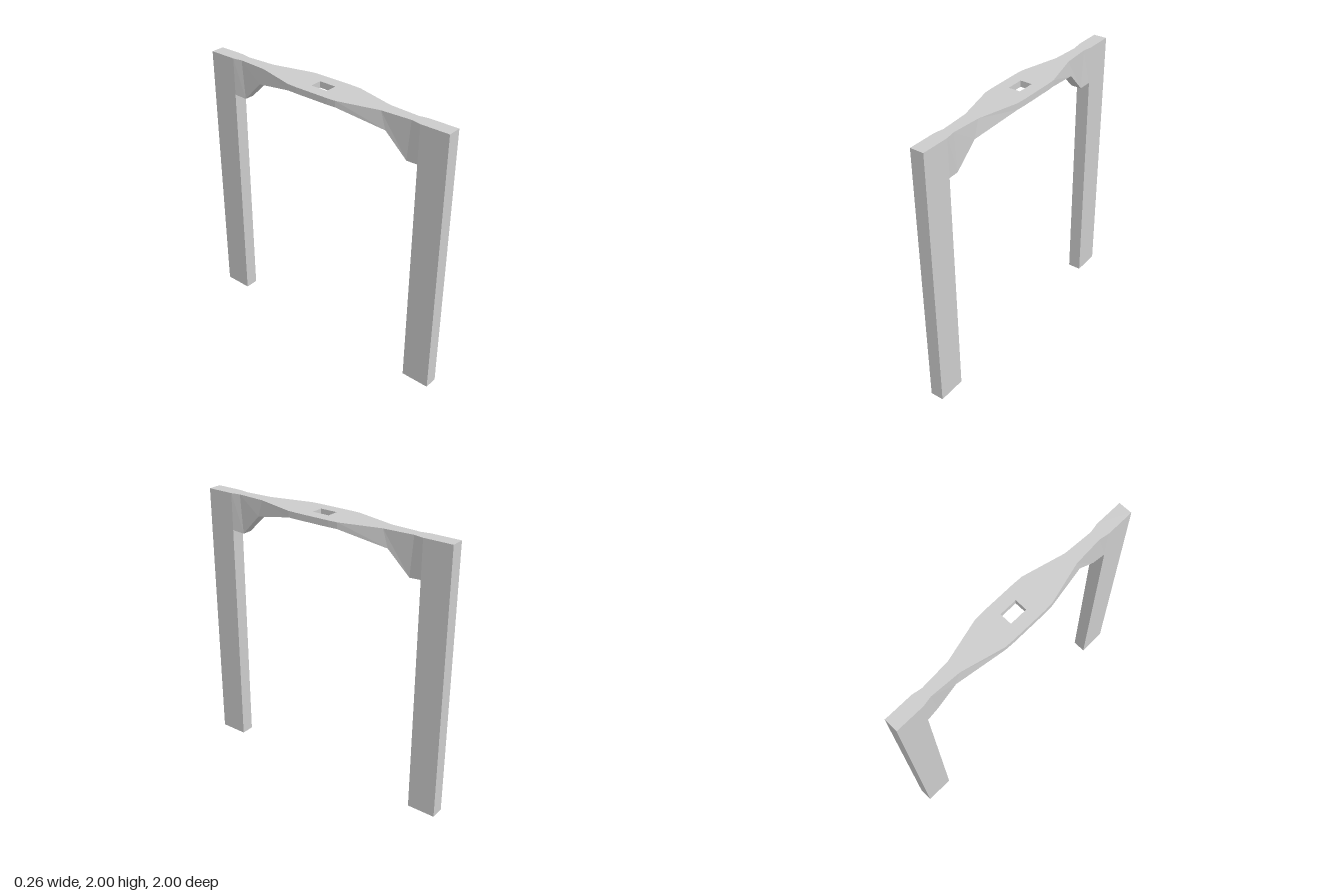
import * as THREE from 'three';

const material = new THREE.MeshStandardMaterial({ color: 0xcccccc, flatShading: true });
const TOP = 2, LEG_INNER = 0.79, HALF_LEG = 0.05;

// Stations along an arm, from the centre plate out to the leg:
// [z at top, half width at top, z at bottom, half width at bottom, y of bottom]
const STATIONS = [
  [0.2, 0.127, 0.2, 0.127, 1.955],
  [0.5, 0.05, 0.54, 0.05, 1.876],
  [0.72, 0.037, 0.7, 0.037, 1.715],
  [LEG_INNER, HALF_LEG, LEG_INNER, HALF_LEG, 1.726],
];

// Four-sided tube through the stations
function armGeometry() {
  const rings = STATIONS.map(([zt, wt, zb, wb, y]) => [
    [wt, TOP, zt], [-wt, TOP, zt], [-wb, y, zb], [wb, y, zb],
  ]);
  const pos = [];
  for (let i = 0; i < rings.length - 1; i++) {
    for (let k = 0; k < 4; k++) {
      const n = (k + 1) % 4, r = rings[i], s = rings[i + 1];
      pos.push(...r[k], ...r[n], ...s[n], ...r[k], ...s[n], ...s[k]);
    }
  }
  const geo = new THREE.BufferGeometry();
  geo.setAttribute('position', new THREE.Float32BufferAttribute(pos, 3));
  geo.computeVertexNormals();
  return geo;
}

// Flat plate with a rectangular slot through it
function plateGeometry() {
  const outline = [
    [0.127, -0.2], [0.13, -0.13], [0.13, 0.13], [0.127, 0.2],
    [-0.127, 0.2], [-0.13, 0.13], [-0.13, -0.13], [-0.127, -0.2],
  ].map(([x, y]) => new THREE.Vector2(x, y));
  const slot = [
    [-0.045, -0.06], [-0.045, 0.07], [0.043, 0.07], [0.043, -0.06],
  ].map(([x, y]) => new THREE.Vector2(x, y));
  const shape = new THREE.Shape(outline);
  shape.holes.push(new THREE.Path(slot));
  const geo = new THREE.ExtrudeGeometry(shape, { depth: TOP - 1.955, bevelEnabled: false });
  return geo.rotateX(-Math.PI / 2).translate(0, 1.955, 0);
}

function addMesh(parent, name, geometry) {
  const mesh = new THREE.Mesh(geometry, material);
  mesh.name = name;
  parent.add(mesh);
  return mesh;
}

export function createModel() {
  const model = new THREE.Group();
  model.name = 'archFrame';

  addMesh(model, 'slottedPlate', plateGeometry());

  // Leg and flared arm, repeated at front and back
  const arm = armGeometry();
  const leg = new THREE.BoxGeometry(HALF_LEG * 2, TOP, 1 - LEG_INNER);
  leg.translate(0, TOP / 2, (1 + LEG_INNER) / 2);
  for (const [name, turn] of [['front', 0], ['back', Math.PI]]) {
    const half = new THREE.Group();
    half.name = name + 'Half';
    half.rotation.y = turn;
    addMesh(half, name + 'Leg', leg);
    addMesh(half, name + 'Arm', arm);
    model.add(half);
  }
  return model;
}
